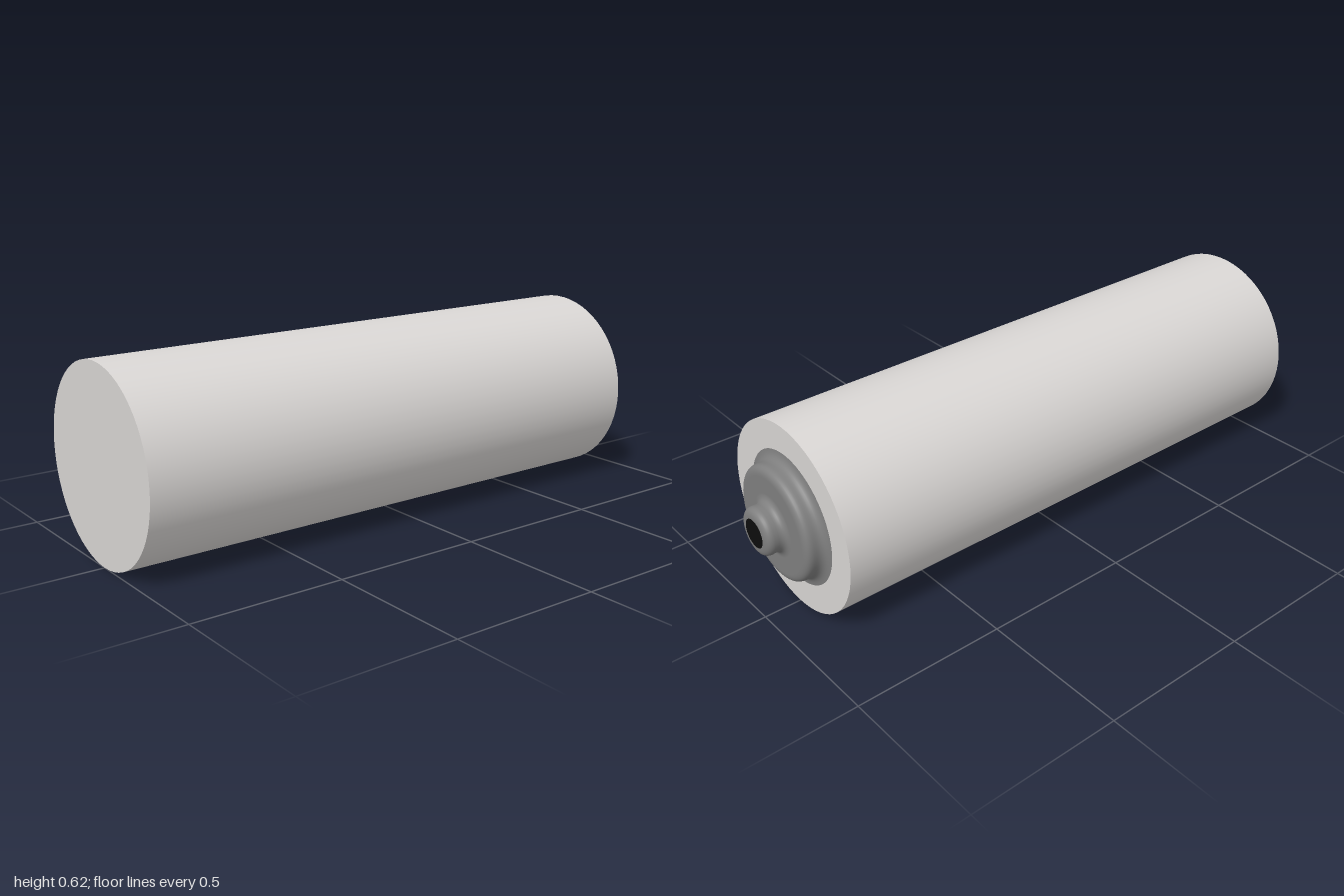
import * as THREE from 'three';

const AXIS_Y = 0.3125; // height of the long axis
const SEGMENTS = 64;

function material(name, color) {
  const m = new THREE.MeshStandardMaterial({ color });
  m.name = name;
  return m;
}

export function createModel() {
  const group = new THREE.Group();
  group.name = 'cylinderWithStud';

  const shell = material('lightGrey', 0xd9d6d4);
  const metal = material('midGrey', 0x7f7f7f);
  const dark = material('black', 0x0d0d0d);

  // Adds a shape turned about y, laid along x with its origin at the given x
  function addTurned(name, geometry, mat, x) {
    geometry.rotateZ(-Math.PI / 2);
    const mesh = new THREE.Mesh(geometry, mat);
    mesh.name = name;
    mesh.position.set(x, AXIS_Y, 0);
    group.add(mesh);
  }

  // Main barrel with closed ends
  addTurned('barrel', new THREE.CylinderGeometry(0.3125, 0.3125, 1.875, SEGMENTS), shell, -0.0625);

  // Stepped cap: flared foot, rounded shoulder, fillet and rounded nub
  const profile = new THREE.Path();
  profile.moveTo(0.219, 0);
  profile.quadraticCurveTo(0.187, 0.003, 0.187, 0.03);
  profile.lineTo(0.187, 0.037);
  profile.quadraticCurveTo(0.187, 0.0625, 0.157, 0.0625);
  profile.lineTo(0.102, 0.0625);
  profile.quadraticCurveTo(0.077, 0.064, 0.077, 0.087);
  profile.lineTo(0.078, 0.1);
  profile.quadraticCurveTo(0.078, 0.125, 0.047, 0.125);
  addTurned('cap', new THREE.LatheGeometry(profile.getPoints(8), SEGMENTS), metal, 0.875);

  // Dark disc closing the nub
  const disc = new THREE.CircleGeometry(0.047, SEGMENTS).rotateX(-Math.PI / 2);
  addTurned('tipDisc', disc, dark, 1);

  return group;
}
